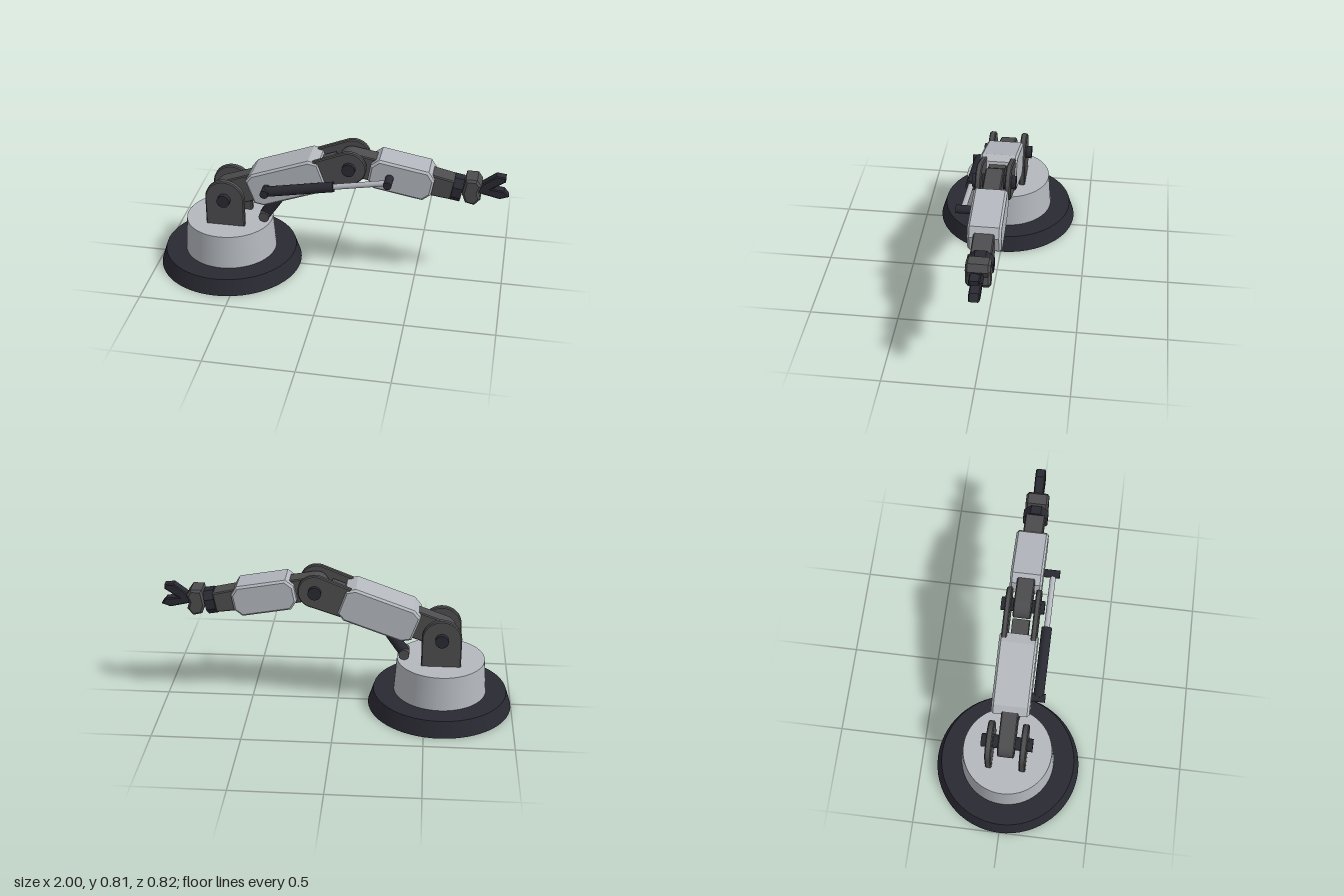
import * as THREE from 'three';

const mat = (name, color, side = THREE.FrontSide) => {
  const m = new THREE.MeshStandardMaterial({ color, side });
  m.name = name;
  return m;
};

export function createModel() {
  const light = mat('light grey paint', 0xb4b8be);
  const dark = mat('dark grey metal', 0x4d4d4f);
  const black = mat('black rubber', 0x292932);
  const root = new THREE.Group();
  root.name = 'robotArm';

  const add = (parent, name, geo, material, x = 0, y = 0, z = 0) => {
    const m = new THREE.Mesh(geo, material);
    m.name = name;
    m.position.set(x, y, z);
    parent.add(m);
    return m;
  };

  // Side profile in x/y extruded to width w along z, centred, with a small bevel
  const slab = (shape, w, b = 0.006) => {
    const s = Array.isArray(shape) ? new THREE.Shape(shape.map(p => new THREE.Vector2(...p))) : shape;
    const g = new THREE.ExtrudeGeometry(s, {
      depth: w - 2 * b, bevelEnabled: true, bevelThickness: b, bevelSize: b,
      bevelOffset: -b, bevelSegments: 1, curveSegments: 20,
    });
    return g.translate(0, 0, -w / 2 + b);
  };

  // Bar from u0 to u1 with half height h at u0 and a round end of radius r around u1
  const roundBar = (u0, u1, h, r) => {
    const s = new THREE.Shape();
    s.moveTo(u0, -h);
    s.lineTo(u1, -r);
    s.absarc(u1, 0, r, -Math.PI / 2, Math.PI / 2, false);
    s.lineTo(u0, h);
    s.closePath();
    return s;
  };

  // Block profile with its four corners cut
  const cutBlock = (u0, u1, h, cut, endH) => [
    [u0, -endH], [u0 + cut, -h], [u1 - cut, -h], [u1, -endH],
    [u1, endH], [u1 - cut, h], [u0 + cut, h], [u0, endH],
  ];

  // Round pin lying along z
  const pin = (parent, name, material, x, y, r, z0, z1) => add(parent, name,
    new THREE.CylinderGeometry(r, r, z1 - z0, 24).rotateX(Math.PI / 2), material, x, y, (z0 + z1) / 2);

  // Cylinder between two points in the x/y plane at depth z
  const rod = (name, material, a, b, z, r) => {
    const dx = b[0] - a[0], dy = b[1] - a[1];
    const m = add(root, name, new THREE.CylinderGeometry(r, r, Math.hypot(dx, dy), 24), material,
      (a[0] + b[0]) / 2, (a[1] + b[1]) / 2, z);
    m.rotation.z = Math.atan2(dy, dx) - Math.PI / 2;
    return m;
  };

  // Base: wide foot and tapered housing
  const bx = -0.588;
  add(root, 'foot', new THREE.CylinderGeometry(0.382, 0.412, 0.092, 64), black, bx, 0.046);
  add(root, 'housing', new THREE.CylinderGeometry(0.25, 0.265, 0.198, 64), light, bx, 0.191);

  // Shoulder brackets and pin
  const shoulder = [bx, 0.457], elbow = [0.123, 0.716];
  for (const side of [-1, 1]) {
    const bracket = add(root, 'shoulderBracket', slab(roundBar(-0.175, 0, 0.112, 0.112), 0.036),
      dark, shoulder[0], shoulder[1], side * 0.095);
    bracket.rotation.z = Math.PI / 2;
  }
  pin(root, 'shoulderPin', black, ...shoulder, 0.037, -0.143, 0.143);

  // Upper arm, built along its own x axis from the shoulder
  const upper = new THREE.Group();
  upper.name = 'upperArm';
  upper.position.set(shoulder[0], shoulder[1], 0);
  upper.rotation.z = Math.atan2(elbow[1] - shoulder[1], elbow[0] - shoulder[0]);
  root.add(upper);
  const reach = Math.hypot(elbow[0] - shoulder[0], elbow[1] - shoulder[1]);
  const knuckle = add(upper, 'shoulderKnuckle', slab(roundBar(-0.25, 0, 0.082, 0.082), 0.094), dark);
  knuckle.rotation.z = Math.PI;
  add(upper, 'upperShell', slab(cutBlock(0.155, 0.6, 0.102, 0.05, 0.072), 0.21, 0.012), light);
  for (const side of [-1, 1]) {
    add(upper, 'elbowFork', slab(roundBar(0.5, reach, 0.088, 0.096), 0.032), dark, 0, 0, side * 0.081);
  }
  add(upper, 'forkWeb', new THREE.BoxGeometry(0.16, 0.12, 0.094), dark, 0.6, -0.005, 0);
  pin(upper, 'elbowPin', black, reach, 0, 0.037, -0.12, 0.12);

  // Forearm, built along its own x axis from the elbow
  const fore = new THREE.Group();
  fore.name = 'forearm';
  fore.position.set(elbow[0], elbow[1], 0);
  fore.rotation.z = -0.178;
  root.add(fore);
  const foreKnuckle = add(fore, 'elbowKnuckle', slab(roundBar(-0.2, 0, 0.07, 0.07), 0.1), dark);
  foreKnuckle.rotation.z = Math.PI;
  add(fore, 'forearmShell', slab(cutBlock(0.112, 0.47, 0.09, 0.04, 0.045), 0.18, 0.012), light);
  add(fore, 'wristBar', slab([[0.4, -0.066], [0.58, -0.058], [0.58, 0.058], [0.4, 0.066]], 0.112), dark);
  add(fore, 'wristCollar', new THREE.CylinderGeometry(0.076, 0.076, 0.055, 8)
    .toNonIndexed().rotateY(Math.PI / 8).rotateZ(Math.PI / 2), black, 0.603, 0, 0).geometry.computeVertexNormals();

  // Gripper: palm and two fingers
  add(root, 'palm', slab([
    [0.745, 0.6], [0.765, 0.548], [0.815, 0.536], [0.848, 0.575], [0.835, 0.617],
    [0.85, 0.655], [0.825, 0.69], [0.762, 0.69],
  ], 0.13, 0.012), dark);
  add(root, 'upperFinger', slab([
    [0.82, 0.615], [0.86, 0.6], [0.978, 0.678], [0.978, 0.704], [0.925, 0.71], [0.84, 0.645],
  ], 0.058), black);
  add(root, 'lowerFinger', slab([
    [0.82, 0.6], [0.95, 0.57], [1.0, 0.588], [0.972, 0.622], [0.86, 0.633], [0.82, 0.63],
  ], 0.058), black);

  // Side actuator between upper arm and forearm
  const start = [-0.34, 0.55], end = [0.348, 0.676], sz = 0.142;
  const mid = [0.047, 0.621];
  rod('actuatorBarrel', black, start, mid, sz, 0.029);
  rod('actuatorRod', light, mid, end, sz, 0.016);
  pin(root, 'actuatorRearPin', black, ...start, 0.024, 0.09, 0.18);
  pin(root, 'actuatorFrontPin', black, ...end, 0.023, 0.08, 0.18);

  // Lift strut under the upper arm
  const low = [-0.378, 0.32];
  rod('liftStrut', black, low, [-0.255, 0.5], 0, 0.033);
  pin(root, 'liftPin', dark, ...low, 0.03, -0.045, 0.045);

  return root;
}
